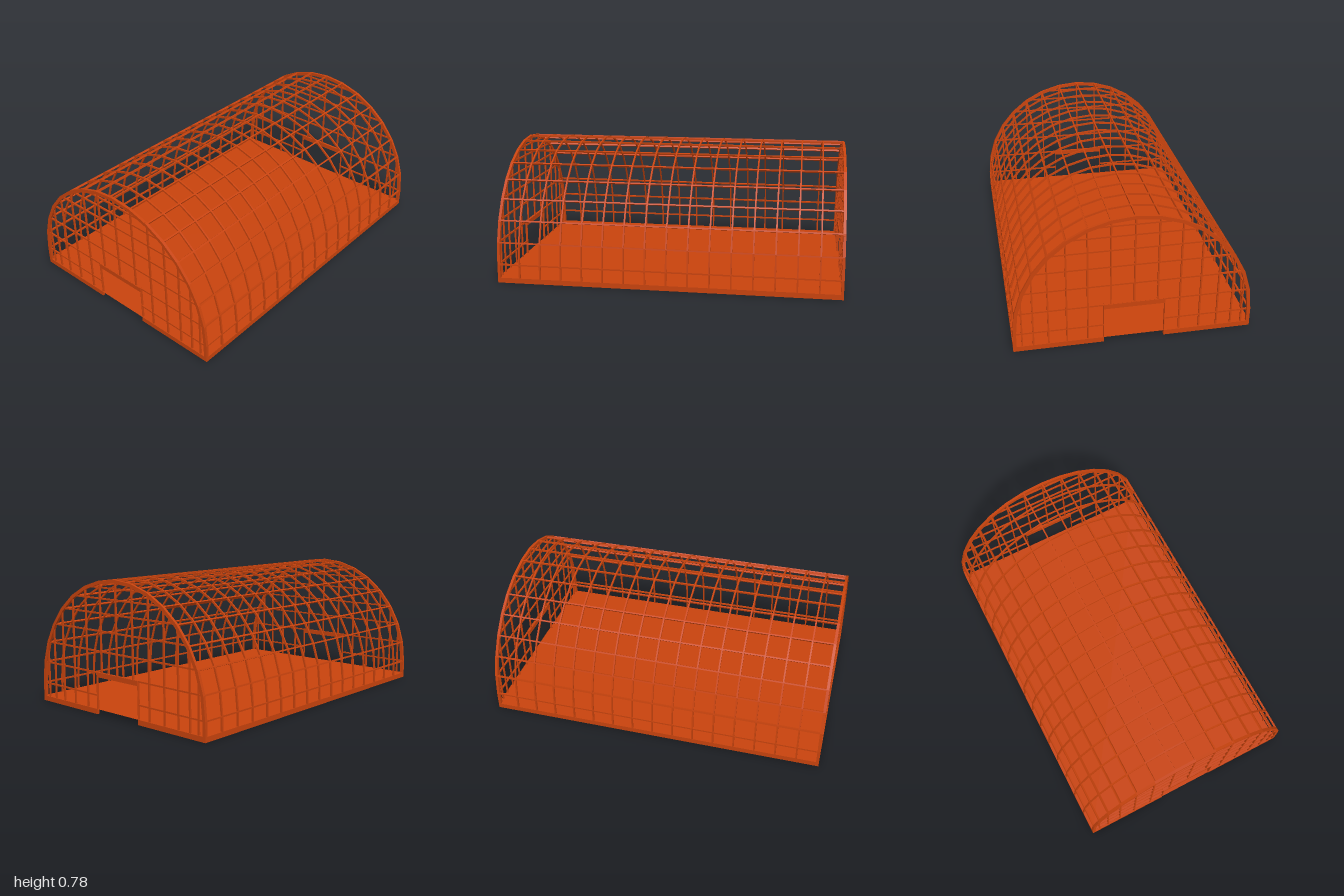
import * as THREE from 'three';

const R = 0.667, SPRING = 0.11, SEG = 16, HALF = 1;   // arch radius, arch centre height, facets, half length
const BASE = 0.03, DOOR = 0.17, DOOR_TOP = 0.24, BAR = 0.009;

export function createModel() {
  const model = new THREE.Group();
  const mat = new THREE.MeshStandardMaterial({ color: 0xc8430d, flatShading: true });
  const thin = new THREE.MeshStandardMaterial({ color: 0xc8430d, side: THREE.DoubleSide });

  const add = (parent, name, geometry, x, y, z, material = mat) => {
    const mesh = new THREE.Mesh(geometry, material);
    mesh.name = name;
    mesh.position.set(x, y, z);
    parent.add(mesh);
    return mesh;
  };
  const box = (parent, name, w, h, d, x, y, z) =>
    add(parent, name, new THREE.BoxGeometry(w, h, d), x, y, z);
  const group = (name) => {
    const g = new THREE.Group();
    g.name = name;
    model.add(g);
    return g;
  };

  // Faceted arch on two short upright legs
  const archLine = (r) => {
    const pts = [new THREE.Vector2(r, 0)];
    for (let i = 0; i <= SEG; i++) {
      const a = (i / SEG) * Math.PI;
      pts.push(new THREE.Vector2(r * Math.cos(a), SPRING + r * Math.sin(a)));
    }
    pts.push(new THREE.Vector2(-r, 0));
    return pts;
  };
  const archGeometry = (thickness, depth) => {
    const shape = new THREE.Shape([...archLine(R), ...archLine(R - thickness).reverse()]);
    return new THREE.ExtrudeGeometry(shape, { depth, bevelEnabled: false }).translate(0, 0, -depth / 2);
  };

  // Floor sheet and side sills
  const floor = add(model, 'floor', new THREE.PlaneGeometry(2 * R, 2 * HALF), 0, BASE, 0, thin);
  floor.rotation.x = -Math.PI / 2;
  for (const s of [-1, 1]) {
    box(model, 'sideSill', 0.016, BASE, 2 * HALF, s * (R - 0.008), BASE / 2, 0);
  }

  // Hoops along the tunnel
  const ribs = group('ribs');
  const ribGeo = archGeometry(0.011, BAR);
  const span = HALF - 0.008;
  for (let i = 1; i < 16; i++) {
    add(ribs, 'rib', ribGeo, 0, 0, -span + (2 * span * i) / 16);
  }

  // Long bars at every corner of the arch
  const purlins = group('purlins');
  for (let i = 0; i <= SEG; i++) {
    const a = (i / SEG) * Math.PI, r = R - 0.006;
    const bar = box(purlins, 'purlin', 0.011, BAR, 2 * HALF - 0.01,
      r * Math.cos(a), SPRING + r * Math.sin(a), 0);
    bar.rotation.z = a;
  }

  // Two matching end walls with a doorway
  const endFrameGeo = archGeometry(0.02, 0.016);
  for (const s of [-1, 1]) {
    const wall = group(s > 0 ? 'frontWall' : 'backWall');
    const z = s * span;
    add(wall, 'endArch', endFrameGeo, 0, 0, z);
    box(wall, 'doorHeader', 2 * DOOR, 0.028, 0.016, 0, DOOR_TOP - 0.01, z);
    for (const m of [-1, 1]) {
      box(wall, 'endSill', R - DOOR, BASE, 0.016, m * (R + DOOR) / 2, BASE / 2, z);
      box(wall, 'doorJamb', 0.003, DOOR_TOP, 0.014, m * DOOR, DOOR_TOP / 2, z);
    }
    for (let i = 0; i < SEG / 2 - 1; i++) {
      const a = (i / SEG) * Math.PI;
      const y = SPRING + R * Math.sin(a), half = R * Math.cos(a) - 0.01;
      // Horizontal bars, split where the doorway cuts through
      if (y < DOOR_TOP - 0.02) {
        for (const m of [-1, 1]) {
          box(wall, 'crossBar', half - DOOR, BAR, BAR, m * (half + DOOR) / 2, y, z);
        }
      } else {
        box(wall, 'crossBar', 2 * half, BAR, BAR, 0, y, z);
      }
    }
    for (let i = 2; i <= SEG - 2; i++) {
      // Upright bars, starting on the sill or on the door header
      const a = (i / SEG) * Math.PI;
      const x = R * Math.cos(a), top = SPRING + R * Math.sin(a) - 0.012;
      const low = Math.abs(x) < DOOR ? DOOR_TOP : BASE;
      box(wall, 'upright', BAR, top - low, BAR, x, (top + low) / 2, z);
    }
  }
  return model;
}
